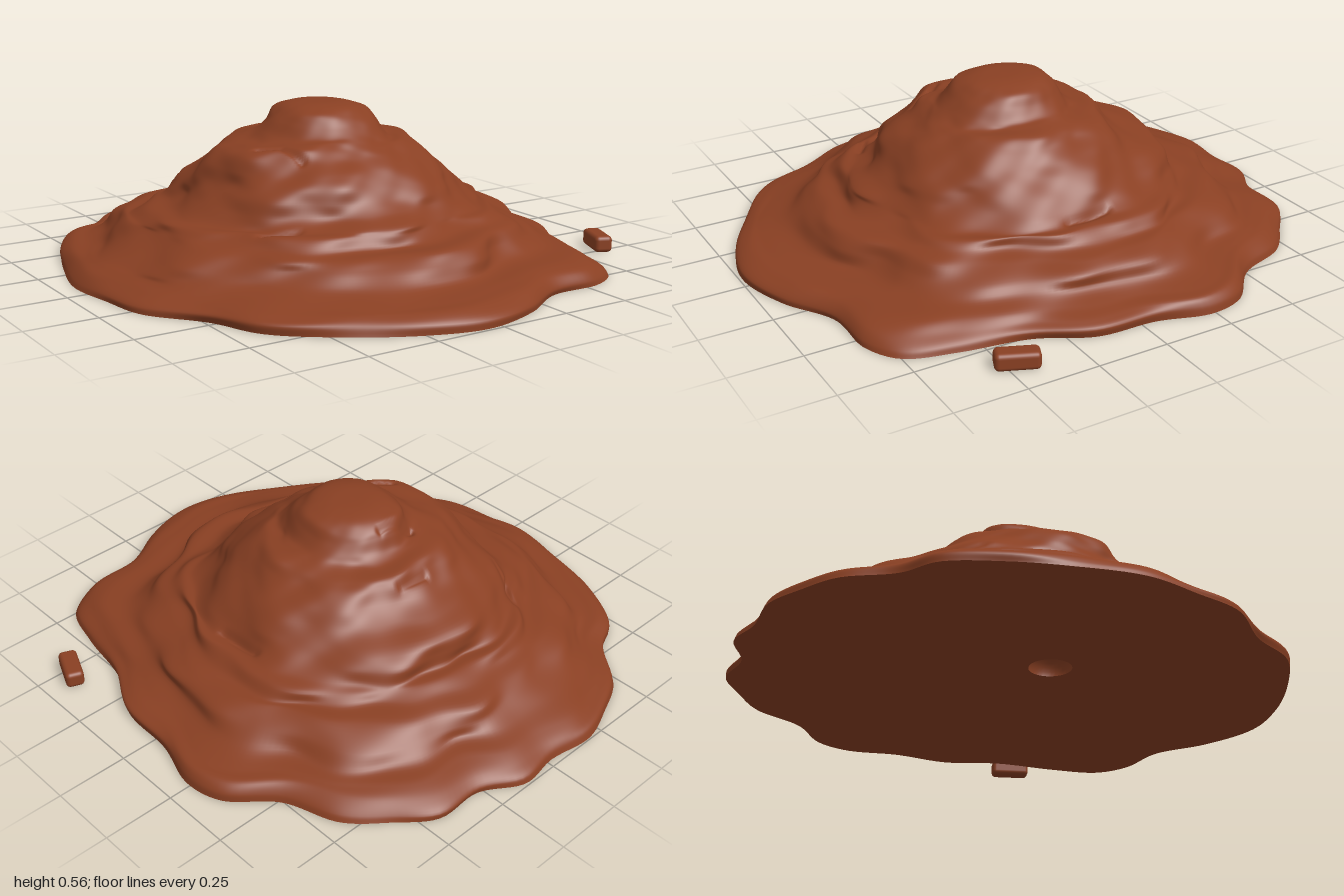
import * as THREE from 'three';
import { RoundedBoxGeometry } from 'three/addons/geometries/RoundedBoxGeometry.js';

const CX = -0.03; // axis of the mound in x

// wavy footprint, x and z pairs
const FOOT = [
  -0.195, -0.995, -0.02, -0.975, 0.125, -0.99, 0.27, -0.91, 0.44, -0.905, 0.56, -0.815, 0.68, -0.7, 0.755, -0.51,
  0.89, -0.37, 0.92, -0.235, 0.87, -0.05, 0.855, 0.16, 0.765, 0.345, 0.72, 0.58, 0.665, 0.75, 0.55, 0.82,
  0.35, 0.83, 0.165, 0.935, -0.05, 0.99, -0.26, 0.935, -0.495, 0.8, -0.655, 0.66, -0.735, 0.48, -0.875, 0.29,
  -0.91, 0.11, -0.935, -0.09, -0.88, -0.315, -0.81, -0.5, -0.71, -0.67, -0.59, -0.735, -0.47, -0.88, -0.34, -0.945,
];

// terraces: height, then radius towards +x, +z, -x, -z
const RINGS = [
  [0, 0.9, 0.99, 0.905, 0.97],
  [0.025, 0.9, 0.985, 0.9, 0.965],
  [0.05, 0.875, 0.94, 0.86, 0.93],
  [0.065, 0.83, 0.88, 0.81, 0.88],
  [0.085, 0.765, 0.77, 0.78, 0.82],
  [0.125, 0.735, 0.72, 0.725, 0.775],
  [0.16, 0.67, 0.68, 0.665, 0.73],
  [0.175, 0.625, 0.6, 0.64, 0.66],
  [0.205, 0.6, 0.56, 0.6, 0.62],
  [0.215, 0.56, 0.54, 0.54, 0.585],
  [0.25, 0.52, 0.48, 0.49, 0.575],
  [0.29, 0.48, 0.45, 0.46, 0.55],
  [0.33, 0.44, 0.42, 0.43, 0.46],
  [0.37, 0.4, 0.37, 0.405, 0.39],
  [0.41, 0.35, 0.31, 0.37, 0.35],
  [0.435, 0.31, 0.28, 0.32, 0.32],
  [0.448, 0.25, 0.255, 0.26, 0.25],
  [0.465, 0.225, 0.23, 0.22, 0.22],
  [0.5, 0.195, 0.2, 0.185, 0.2],
  [0.53, 0.17, 0.17, 0.16, 0.185],
  [0.55, 0.135, 0.135, 0.125, 0.15],
  [0.562, 0.08, 0.08, 0.08, 0.09],
  [0.565, 0, 0, 0, 0],
];

// surface cracks as segments: x, z, x, z
const CRACKS = [
  [-0.34, 0.1, -0.28, 0.15], [-0.28, 0.15, -0.25, 0.24], [-0.14, -0.19, 0, -0.18],
  [-0.05, -0.35, 0.06, -0.34], [-0.41, -0.36, -0.36, -0.5], [-0.47, 0.34, -0.37, 0.4], [0.5, -0.1, 0.51, 0.06],
];

function ringRadius(ring, angle) {
  const c = Math.cos(angle), s = Math.sin(angle);
  return (c > 0 ? ring[1] : ring[3]) * c * c + (s > 0 ? ring[2] : ring[4]) * s * s;
}

function crackDepth(x, z) {
  let depth = 0;
  for (const [ax, az, bx, bz] of CRACKS) {
    const dx = bx - ax, dz = bz - az;
    const t = THREE.MathUtils.clamp(((x - ax) * dx + (z - az) * dz) / (dx * dx + dz * dz), 0, 1);
    const d = Math.hypot(x - ax - t * dx, z - az - t * dz);
    depth = Math.max(depth, 0.014 * Math.exp(-((d / 0.012) ** 2)));
  }
  return depth;
}

function moundGeometry(outline) {
  const n = outline.length, steps = 130, positions = [], index = [];
  for (const p of outline) {
    const a = Math.atan2(p.y, p.x - CX);
    const wave = Math.hypot(p.x - CX, p.y) / ringRadius(RINGS[0], a);
    // one slope from rim to summit, the rim's waves fading upwards
    const slope = RINGS.map((ring, k) => {
      const y = ring[0];
      const fade = Math.max(0, 1 - y / 0.3);
      const wobble = k === 0 ? 0 : Math.min(1, y / 0.1) *
        (0.014 * Math.sin(5 * a + k * 1.3) + 0.01 * Math.sin(9 * a - k * 0.8) + 0.005 * Math.sin(17 * a + k * 2.1));
      const calm = y > 0.45 ? 0.3 : 1;
      const r = ringRadius(ring, a) * (1 + (wave - 1) * fade + wobble * calm * 1.5);
      const lift = k === 0 || y > 0.54 ? 0 : 0.006 * Math.sin(3 * a + k * 1.7);
      return new THREE.Vector3(r, y + lift, 0);
    });
    const curve = new THREE.CatmullRomCurve3(slope, false, 'centripetal');
    for (let j = 0; j <= steps; j++) {
      const q = curve.getPoint(j / steps);
      const x = CX + q.x * Math.cos(a), z = q.x * Math.sin(a);
      positions.push(x, Math.max(0, q.y - (j ? crackDepth(x, z) : 0)), z);
    }
  }
  const row = steps + 1;
  for (let i = 0; i < n; i++) {
    for (let j = 0; j < steps; j++) {
      const a = i * row + j, b = ((i + 1) % n) * row + j;
      index.push(a, a + 1, b);
      if (j < steps - 1) index.push(b, a + 1, b + 1);
    }
  }
  const g = new THREE.BufferGeometry();
  g.setAttribute('position', new THREE.Float32BufferAttribute(positions, 3));
  g.setIndex(index);
  g.computeVertexNormals();
  return g;
}

export function createModel() {
  const group = new THREE.Group();
  group.name = 'mound';
  const earth = new THREE.MeshStandardMaterial({ color: 0x8a4023, side: THREE.DoubleSide });
  earth.name = 'redBrownEarth';
  const add = (name, geometry) => {
    const mesh = new THREE.Mesh(geometry, earth);
    mesh.name = name;
    group.add(mesh);
    return mesh;
  };

  const corners = [];
  for (let i = 0; i < FOOT.length; i += 2) corners.push(new THREE.Vector3(FOOT[i], FOOT[i + 1], 0));
  const outline = new THREE.CatmullRomCurve3(corners, true).getSpacedPoints(240).slice(0, 240);

  // terraced slopes
  add('slopes', moundGeometry(outline));

  // flat underside with a small round pit
  const shape = new THREE.Shape(outline.map((p) => new THREE.Vector2(p.x, p.y)));
  const hole = new THREE.Path();
  hole.absarc(-0.19, 0.02, 0.075, 0, Math.PI * 2, true);
  shape.holes.push(hole);
  add('underside', new THREE.ShapeGeometry(shape, 16).rotateX(Math.PI / 2));
  const pit = add('undersidePit', new THREE.SphereGeometry(0.075, 32, 8, 0, Math.PI * 2, 0, Math.PI / 2));
  pit.position.set(-0.19, 0, 0.02);

  // loose lump lying beside the mound
  const lump = add('looseLump', new RoundedBoxGeometry(0.065, 0.06, 0.145, 3, 0.016));
  lump.position.set(0.878, 0.03, 0.467);
  lump.rotation.y = -0.4;

  return group;
}
